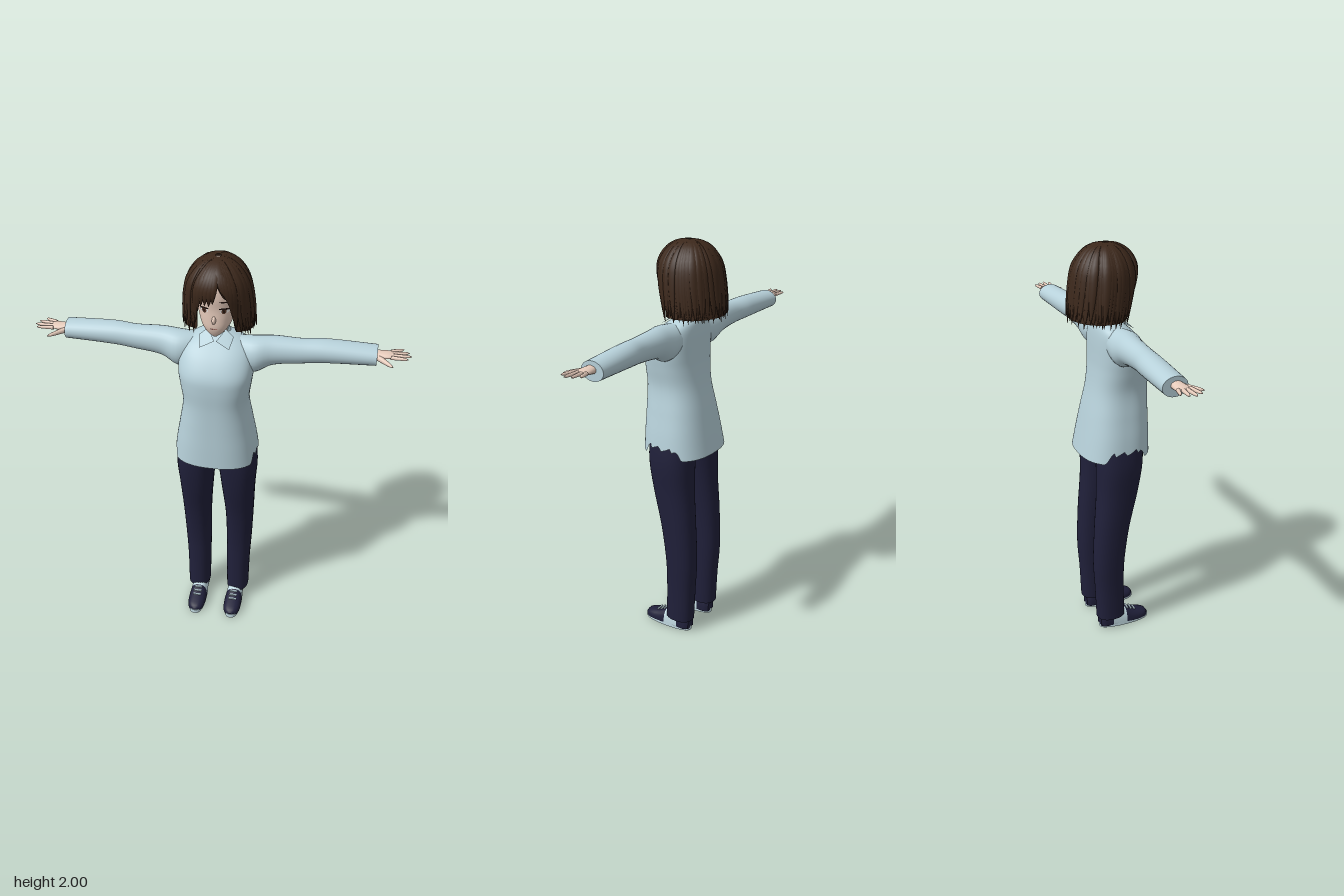
import * as THREE from 'three';
import { mergeGeometries } from 'three/addons/utils/BufferGeometryUtils.js';

const { lerp, smoothstep, clamp } = THREE.MathUtils;
const V = (x, y, z) => new THREE.Vector3(x, y, z);
const mat = (name, color, side = THREE.FrontSide) => {
  const m = new THREE.MeshStandardMaterial({ color, side });
  m.name = name;
  return m;
};
let seed = 7;
const rand = () => (seed = (seed * 16807) % 2147483647) / 2147483647;

// Smooth interpolation of rows [key, a, b, ...] sorted by rising key
function sample(rows, key) {
  const n = rows.length - 1;
  key = clamp(key, rows[0][0], rows[n][0]);
  let i = 0;
  while (i < n - 1 && rows[i + 1][0] < key) i++;
  const h = rows[i + 1][0] - rows[i][0], t = (key - rows[i][0]) / h;
  const slope = (j, c) => {
    const p = rows[Math.max(j - 1, 0)], q = rows[Math.min(j + 1, n)];
    return (q[c] - p[c]) / (q[0] - p[0]) * h;
  };
  return rows[i].map((v, c) => c === 0 ? key :
    (2 * t ** 3 - 3 * t * t + 1) * v + (t ** 3 - 2 * t * t + t) * slope(i, c) +
    (3 * t * t - 2 * t ** 3) * rows[i + 1][c] + (t ** 3 - t * t) * slope(i + 1, c));
}

const power = (v, e) => Math.sign(v) * Math.abs(v) ** e;
// Point on a horizontal rounded section; row = [y, halfWidth, zFront, zBack]
function around([y, hw, zf, zb], a, n = 2, k = 1) {
  return V(k * hw * power(Math.sin(a), 2 / n), y,
    (zf + zb) / 2 + k * (zf - zb) / 2 * power(Math.cos(a), 2 / n));
}

function flip(g) {
  const x = g.index.array;
  for (let i = 0; i < x.length; i += 3) [x[i + 1], x[i + 2]] = [x[i + 2], x[i + 1]];
  return g;
}

// Skin over closed rings; point(s, a) with s in 0..1, a in 0..2PI
function loft(point, rows, segs, caps = true) {
  const pos = [], idx = [];
  for (let i = 0; i <= rows; i++)
    for (let j = 0; j < segs; j++) pos.push(...point(i / rows, j / segs * Math.PI * 2).toArray());
  for (let i = 0; i < rows; i++) for (let j = 0; j < segs; j++) {
    const a = i * segs + j, b = i * segs + (j + 1) % segs;
    idx.push(a, b, b + segs, a, b + segs, a + segs);
  }
  if (caps) for (const i of [0, rows]) {
    const base = pos.length / 3, c = V(0, 0, 0);
    for (let j = 0; j < segs; j++) {
      const p = V().fromArray(pos, (i * segs + j) * 3);
      pos.push(p.x, p.y, p.z);
      c.addScaledVector(p, 1 / segs);
    }
    pos.push(c.x, c.y, c.z);
    for (let j = 0; j < segs; j++) {
      const a = base + j, b = base + (j + 1) % segs;
      idx.push(...(i ? [a, b, base + segs] : [b, a, base + segs]));
    }
  }
  const g = new THREE.BufferGeometry();
  g.setAttribute('position', new THREE.Float32BufferAttribute(pos, 3));
  g.setIndex(idx);
  // keep faces outward whichever way the rings run
  let vol = 0;
  const p = (i) => V().fromArray(pos, i * 3).sub(V(pos[0], pos[1], pos[2]));
  for (let i = 0; i < idx.length; i += 3) vol += p(idx[i]).dot(p(idx[i + 1]).cross(p(idx[i + 2])));
  if (vol < 0) flip(g);
  g.computeVertexNormals();
  return g;
}

// Tapered limb from point a to point b with rounded tip
const finger = (a, b, r0, r1) => {
  const d = b.clone().sub(a).normalize(), u = V(0, 1, 0), w = V().crossVectors(d, u).normalize();
  return loft((s, t) => {
    const r = lerp(r0, r1, s) * Math.sqrt(Math.max(0.02, 1 - s ** 8));
    return a.clone().lerp(b, s).addScaledVector(u, r * Math.cos(t)).addScaledVector(w, r * Math.sin(t));
  }, 8, 8);
};

const TORSO = [[0.99, 0.203, 0.19, -0.152], [1.1, 0.188, 0.189, -0.132], [1.2, 0.17, 0.187, -0.113],
  [1.32, 0.152, 0.186, -0.088], [1.42, 0.163, 0.19, -0.075], [1.48, 0.17, 0.184, -0.072],
  [1.55, 0.165, 0.145, -0.07], [1.6, 0.145, 0.1, -0.066], [1.633, 0.095, 0.058, -0.058], [1.648, 0.045, 0.035, -0.042]];
// x, centre y, centre z, half height, half depth
const ARM = [[0.08, 1.56, 0.01, 0.066, 0.058], [0.17, 1.55, 0.022, 0.085, 0.075], [0.25, 1.569, 0.01, 0.068, 0.063],
  [0.38, 1.575, 0.005, 0.057, 0.054], [0.48, 1.58, -0.005, 0.054, 0.058], [0.707, 1.577, -0.014, 0.044, 0.058]];
// y, inner x, outer x, front z, back z
const LEG = [[0.07, 0.048, 0.162, 0.05, -0.096], [0.25, 0.045, 0.165, 0.045, -0.104], [0.4, 0.043, 0.172, 0.046, -0.113],
  [0.6, 0.038, 0.18, 0.07, -0.106], [0.8, 0.022, 0.188, 0.114, -0.092], [0.95, 0.006, 0.197, 0.136, -0.09], [1.08, -0.015, 0.185, 0.14, -0.088]];
const HEAD = [[1.655, 0.012, 0.088, 0.055], [1.67, 0.034, 0.098, 0.03], [1.7, 0.06, 0.108, -0.02], [1.74, 0.078, 0.109, -0.07],
  [1.79, 0.089, 0.108, -0.1], [1.85, 0.096, 0.114, -0.12], [1.91, 0.095, 0.105, -0.115], [1.96, 0.06, 0.06, -0.08]];
const HAIR = [[1.64, 0.166, 0.105, -0.188], [1.72, 0.161, 0.122, -0.182], [1.82, 0.151, 0.136, -0.17],
  [1.9, 0.132, 0.131, -0.152], [1.96, 0.092, 0.094, -0.113], [1.987, 0.05, 0.05, -0.068], [1.996, 0.008, 0.006, -0.014]];
// z, half width, top y
const SHOE = [[-0.08, 0.026, 0.075], [-0.06, 0.038, 0.095], [0, 0.04, 0.105], [0.05, 0.043, 0.09],
  [0.1, 0.046, 0.068], [0.15, 0.042, 0.053], [0.178, 0.028, 0.042], [0.188, 0.008, 0.028]];

export function createModel() {
  const model = new THREE.Group();
  const shirt = mat('paleBlueShirt', 0xb7d1da, THREE.DoubleSide), navy = mat('navyCloth', 0x20203a);
  const brown = mat('brownHair', 0x3c281b, THREE.DoubleSide), skin = mat('skin', 0xe6cbbb);
  const pale = mat('paleShoe', 0xc4dce4), white = mat('eyeWhite', 0xece8e4), iris = mat('brownIris', 0x5a3a2a);
  const lash = mat('darkLash', 0x2a1a14), lip = mat('lip', 0xb8857a);
  const add = (name, g, m) => {
    const mesh = new THREE.Mesh(g, m);
    mesh.name = name;
    model.add(mesh);
  };
  const pair = (name, g, m) => {
    add('left' + name, g, m);
    const r = flip(g.clone().scale(-1, 1, 1));
    r.computeVertexNormals();
    add('right' + name, r, m);
  };

  // Shirt body, with ragged hem lifted at the hips
  const hem = (a) => {
    const side = smoothstep(Math.abs(Math.sin(a)), 0.84, 0.95);
    const tooth = (Math.round(a / Math.PI / 2 * 120) % 5) / 5;
    return 0.992 + 0.01 * Math.max(0, Math.cos(a)) + side * (0.035 + 0.025 * tooth);
  };
  add('shirtBody', loft((s, a) => around(sample(TORSO, lerp(hem(a), 1.648, s)), a, 2.5), 40, 120, false), shirt);
  pair('Sleeve', loft((s, a) => {
    const [x, y, z, ry, rz] = sample(ARM, lerp(0.08, 0.707, s));
    return V(x, y + ry * Math.cos(a), z + rz * Math.sin(a));
  }, 32, 28), shirt);

  // Collar band and lapels
  add('collarBand', loft((s, a) => V(Math.sin(a) * lerp(0.062, 0.048, s),
    lerp(1.632, 1.664 - 0.03 * Math.max(0, Math.cos(a)), s), -0.004 + Math.cos(a) * lerp(0.058, 0.046, s)), 4, 32, false), shirt);
  const lapel = new THREE.BufferGeometry().setFromPoints(
    [V(0.04, 1.664, 0.03), V(0.004, 1.628, 0.085), V(0.066, 1.604, 0.108), V(0.078, 1.638, 0.05)]);
  lapel.setIndex([0, 1, 2, 0, 2, 3]);
  lapel.computeVertexNormals();
  pair('Lapel', lapel, shirt);

  // Trousers
  pair('TrouserLeg', loft((s, a) => {
    const [y, xi, xo, zf, zb] = sample(LEG, lerp(0.07, 1.08, s));
    const p = around([y, (xo - xi) / 2, zf, zb], a, 2.3);
    p.x += (xo + xi) / 2;
    return p;
  }, 32, 32), navy);

  // Shoes: sole plus three uppers
  const shoeX = 0.097;
  const upper = (z0, z1) => loft((s, a) => {
    const [z, w, top] = sample(SHOE, lerp(z0, z1, s));
    return V(shoeX + w * power(Math.cos(a), 0.8), Math.max(0.015, 0.02 + (top - 0.02) * power(Math.sin(a), 0.8)), z);
  }, 12, 28);
  pair('ShoeToe', upper(0.06, 0.188), navy);
  pair('ShoeMiddle', upper(-0.015, 0.06), pale);
  pair('ShoeHeel', upper(-0.08, -0.015), navy);
  pair('Sole', loft((s, a) => {
    const z = 0.055 + 0.136 * Math.cos(a);
    return V(shoeX + (0.043 + 0.03 * (z - 0.05)) * power(Math.sin(a), 0.75), s * 0.023, z);
  }, 1, 40), pale);
  pair('Laces', mergeGeometries([0, 1, 2].map((i) =>
    new THREE.BoxGeometry(0.04, 0.006, 0.007).translate(shoeX, 0.083 - i * 0.009, 0.072 + i * 0.02))), pale);

  // Hands
  const palm = loft((s, a) => {
    const fat = Math.sqrt(Math.max(0.05, 1 - s ** 6));
    return V(lerp(0.69, 0.785, s), 1.582 + 0.006 * s + lerp(0.02, 0.011, s) * fat * Math.cos(a),
      -0.008 + lerp(0.025, 0.036, s) * fat * Math.sin(a));
  }, 12, 20);
  const tips = [[0.822, -0.052], [0.846, -0.025], [0.856, 0.004], [0.842, 0.032]];
  pair('Hand', mergeGeometries([palm,
    finger(V(0.712, 1.578, 0.012), V(0.778, 1.574, 0.078), 0.014, 0.007),
    ...tips.map(([x, z], i) => finger(V(0.766, 1.588, -0.034 + i * 0.018), V(x, 1.592, z), 0.0095, 0.0065))]), skin);

  // Head, neck and nose
  add('head', loft((s, a) => around(sample(HEAD, lerp(1.655, 1.96, s)), a, 2.2), 30, 40), skin);
  add('neck', new THREE.CylinderGeometry(0.037, 0.042, 0.15, 24).translate(0, 1.665, -0.002), skin);
  add('nose', new THREE.SphereGeometry(1, 14, 10).scale(0.009, 0.018, 0.017).rotateX(-0.3).translate(0, 1.745, 0.11), skin);

  // Face details: thin discs laid on the face
  const decal = (x, y, w, h, lift, tilt = 0) => {
    const g = new THREE.CircleGeometry(1, 20).scale(w, h, 1).rotateZ(tilt).translate(x, y, 0), p = g.attributes.position;
    for (let i = 0; i < p.count; i++) {
      const [, hw, zf, zb] = sample(HEAD, p.getY(i));
      const c = (1 - Math.min(1, Math.abs(p.getX(i)) / hw) ** 2.2) ** (1 / 2.2);
      p.setZ(i, (zf + zb) / 2 + (zf - zb) / 2 * c + lift);
    }
    g.computeVertexNormals();
    return g;
  };
  pair('EyeWhite', decal(0.045, 1.788, 0.02, 0.011, 0.003), white);
  pair('Iris', decal(0.043, 1.788, 0.0105, 0.012, 0.005), iris);
  pair('Pupil', decal(0.043, 1.788, 0.005, 0.007, 0.0065), lash);
  pair('UpperLash', decal(0.046, 1.8, 0.024, 0.0045, 0.007, -0.1), lash);
  pair('Eyebrow', decal(0.046, 1.833, 0.023, 0.0032, 0.005, -0.1), lash);
  add('mouth', decal(0, 1.703, 0.017, 0.0035, 0.004), lip);

  // Hair shell with a face opening
  const edge = (a) => {
    const d = a > Math.PI ? a - 2 * Math.PI : a, f = Math.abs(d);
    const fringe = d < 0 ? 1.85 : lerp(1.92, 1.85, smoothstep(f, 0.02, 0.4));
    return lerp(fringe, 1.665, smoothstep(f, 0.5, 0.72));
  };
  add('hairShell', loft((s, a) => {
    const y = lerp(1.995, edge(a), s ** 1.4), f = Math.min(a, 2 * Math.PI - a);
    const tuck = 0.14 * smoothstep(1.9 - y, 0, 0.2) * (1 - smoothstep(f, 0.7, 1.2));
    return around(sample(HAIR, y), a, 2, 0.955 - tuck + 0.008 * Math.sin(a * 30));
  }, 24, 120, false), brown);

  // Tapered locks from crown to tip, swept from angle a0 to a1
  const lock = (a0, a1, tip, k, width) => loft((s, t) => {
    const a = lerp(a0, a1, s), y = lerp(1.993, tip, s ** 1.5);
    const tuck = 0.13 * smoothstep(1.9 - y, 0, 0.2) * (1 - smoothstep(Math.abs(a), 0.6, 1.1));
    const w = width * Math.min(1, 0.15 + 2 * s) * (1.02 - s ** 5);
    return around(sample(HAIR, y), a, 2, k - tuck)
      .addScaledVector(V(Math.cos(a), 0, -Math.sin(a)), w * Math.cos(t))
      .addScaledVector(V(Math.sin(a), 0, Math.cos(a)), w * 0.42 * Math.sin(t));
  }, 14, 8);
  const locks = [];
  for (let i = 0; i < 54; i++) {
    let a = lerp(0.74, 2 * Math.PI - 0.74, i / 53);
    if (a > Math.PI) a -= 2 * Math.PI;
    locks.push(lock(a, a + (rand() - 0.5) * 0.08, 1.64 + rand() * 0.03, 0.965 + rand() * 0.045, 0.016 + rand() * 0.006));
  }
  add('hairLocks', mergeGeometries(locks), brown);

  // Fringe swept both ways from the parting
  const fringe = [[0.06, -0.02, 1.83], [0.0, -0.14, 1.815], [-0.1, -0.27, 1.815], [-0.22, -0.4, 1.81], [-0.36, -0.54, 1.775],
    [-0.5, -0.66, 1.71], [0.1, 0.32, 1.87], [0.14, 0.44, 1.84], [0.25, 0.54, 1.8], [0.42, 0.63, 1.73], [0.56, 0.7, 1.68]];
  add('fringe', mergeGeometries(fringe.map(([a0, a1, y]) => lock(a0, a1, y, 1, 0.02))), brown);
  return model;
}
